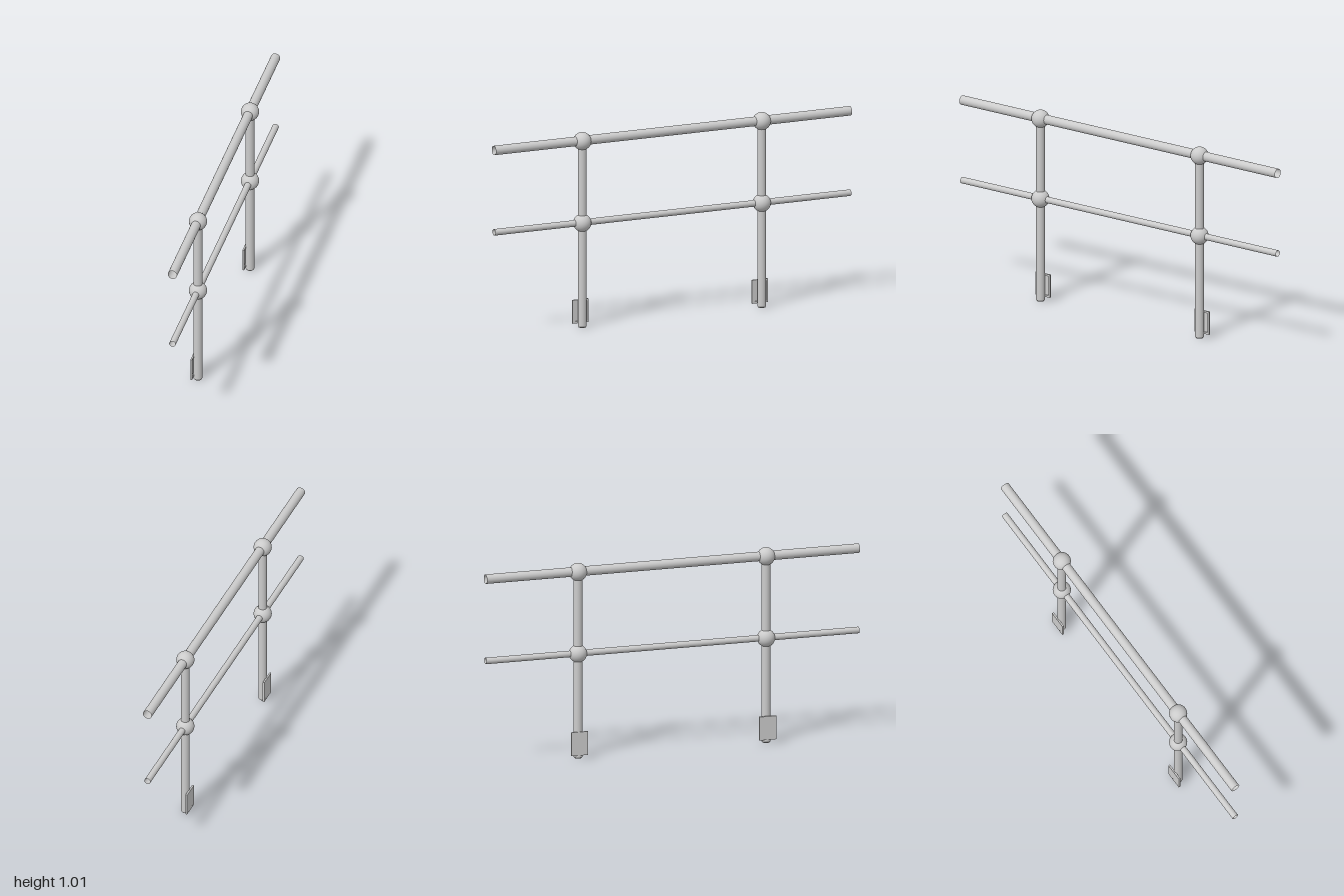
import * as THREE from 'three';

const material = new THREE.MeshStandardMaterial({ color: 0xcccccc });
const openMaterial = new THREE.MeshStandardMaterial({ color: 0xcccccc, side: THREE.DoubleSide });

const TOP_Y = 0.966, MID_Y = 0.542, POST_Z = 0.504;

function add(parent, name, geometry, x, y, z, mat = material) {
  const mesh = new THREE.Mesh(geometry, mat);
  mesh.name = name;
  mesh.position.set(x, y, z);
  parent.add(mesh);
  return mesh;
}

// Open tube running the full length along z
function addRail(parent, name, radius, y) {
  const geometry = new THREE.CylinderGeometry(radius, radius, 2, 32, 1, true).rotateX(Math.PI / 2);
  add(parent, name, geometry, 0, y, 0, openMaterial);
}

// Shallow mounting plate: thin back sheet with a raised rim facing the post
function addPlate(parent) {
  const w = 0.045, h = 0.061, rim = 0.01;
  const shape = new THREE.Shape([[-w, -h], [w, -h], [w, h], [-w, h]].map(p => new THREE.Vector2(...p)));
  const a = w - rim, b = h - rim;
  shape.holes.push(new THREE.Path([[-a, -b], [-a, b], [a, b], [a, -b]].map(p => new THREE.Vector2(...p))));
  const frame = new THREE.ExtrudeGeometry(shape, { depth: 0.009, bevelEnabled: false }).rotateY(Math.PI / 2);
  const plate = new THREE.Group();
  plate.name = 'mountingPlate';
  plate.position.set(-0.028, 0.079, 0);
  add(plate, 'plateRim', frame, 0, 0, 0);
  add(plate, 'plateSheet', new THREE.BoxGeometry(0.003, 2 * h - 0.002, 2 * w - 0.002), 0.0016, 0, 0);
  parent.add(plate);
}

function createPost(name, z) {
  const post = new THREE.Group();
  post.name = name;
  post.position.z = z;
  // Upright with a small chamfer at the foot
  const r = 0.022;
  add(post, 'upright', new THREE.CylinderGeometry(r, r, TOP_Y - 0.005, 32, 1, true), 0, (TOP_Y + 0.005) / 2, 0);
  add(post, 'footCap', new THREE.CylinderGeometry(r, r - 0.004, 0.005, 32), 0, 0.0025, 0);
  // Ball joints where the rails cross
  for (const [joint, y] of [['topJoint', TOP_Y], ['middleJoint', MID_Y]]) {
    add(post, joint, new THREE.SphereGeometry(0.046, 32, 20), 0, y, 0);
  }
  addPlate(post);
  return post;
}

export function createModel() {
  const railing = new THREE.Group();
  railing.name = 'railing';
  addRail(railing, 'topRail', 0.024, TOP_Y + 0.002);
  addRail(railing, 'middleRail', 0.0165, MID_Y + 0.001);
  railing.add(createPost('frontPost', POST_Z), createPost('backPost', -POST_Z));
  return railing;
}
